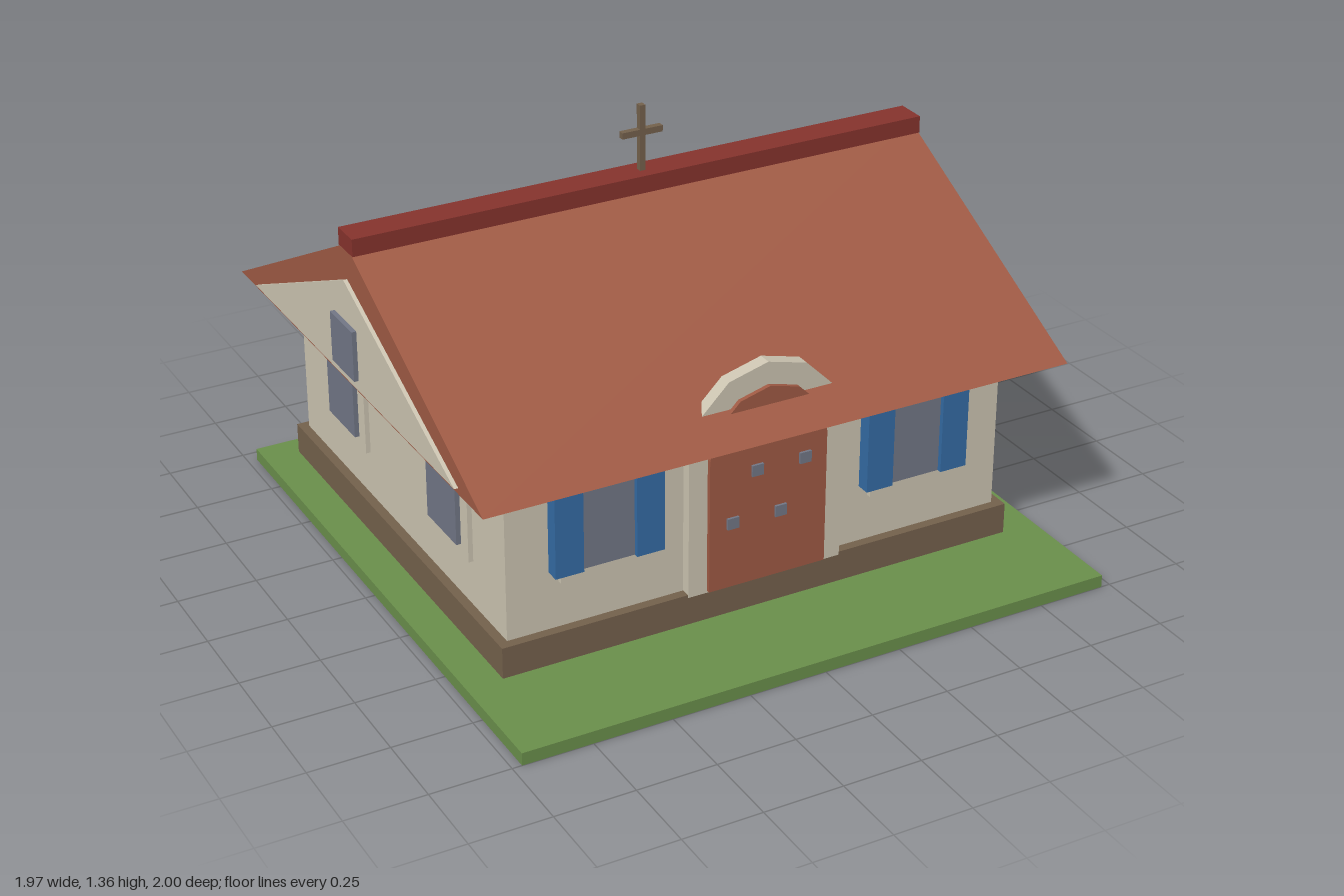
import * as THREE from 'three';

const material = (name, color) => {
  const m = new THREE.MeshStandardMaterial({ color });
  m.name = name;
  return m;
};

export function createModel() {
  const model = new THREE.Group();
  model.name = 'chapel';

  const grass = material('grass green', 0x6a8f4b);
  const stone = material('stone brown', 0x74614c);
  const plaster = material('plaster cream', 0xcdc5b2);
  const tile = material('roof terracotta', 0x9f5a44);
  const ridgeRed = material('ridge red', 0x86332d);
  const glass = material('glass grey', 0x727786);
  const blue = material('shutter blue', 0x346ba4);

  const add = (name, geometry, mat) => {
    const mesh = new THREE.Mesh(geometry, mat);
    mesh.name = name;
    model.add(mesh);
    return mesh;
  };

  // Box given by its extents along each axis
  const box = (name, mat, [x0, x1], [y0, y1], [z0, z1]) => {
    const mesh = add(name, new THREE.BoxGeometry(x1 - x0, y1 - y0, z1 - z0), mat);
    mesh.position.set((x0 + x1) / 2, (y0 + y1) / 2, (z0 + z1) / 2);
    return mesh;
  };

  // The same box on the left (+x) and right (-x)
  const pair = (name, mat, [x0, x1], y, z) => {
    box(name + 'Left', mat, [x0, x1], y, z);
    box(name + 'Right', mat, [-x1, -x0], y, z);
  };

  const mid = -0.113; // z of the ridge line

  // Ground, plinth and walls
  box('lawn', grass, [-0.97, 0.97], [0, 0.04], [-0.95, 1]);
  box('plinth', stone, [-0.855, 0.855], [0.04, 0.14], [-0.87, 0.645]);
  box('walls', plaster, [-0.825, 0.825], [0.14, 0.66], [-0.842, 0.615]);

  // Triangular prism running along x, centred on x = 0
  const prism = (name, mat, halfBase, y0, y1, length) => {
    const shape = new THREE.Shape();
    shape.moveTo(-halfBase, y0);
    shape.lineTo(halfBase, y0);
    shape.lineTo(0, y1);
    shape.closePath();
    const geometry = new THREE.ExtrudeGeometry(shape, { depth: length, bevelEnabled: false });
    geometry.translate(0, 0, -length / 2).rotateY(Math.PI / 2);
    add(name, geometry, mat).position.z = mid;
  };

  // Roof, gable infill showing at both ends, and ridge cap
  prism('roof', tile, 0.885, 0.655, 1.112, 1.92);
  prism('gables', plaster, 0.73, 0.675, 1.0, 1.945);
  box('ridgeCap', ridgeRed, [-0.96, 0.96], [1.09, 1.145], [mid - 0.05, mid + 0.05]);

  // Cross on the ridge
  box('crossPost', stone, [-0.009, 0.009], [1.14, 1.355], [mid - 0.01, mid + 0.01]);
  box('crossBar', stone, [-0.068, 0.068], [1.258, 1.278], [mid - 0.01, mid + 0.01]);

  // Gable windows and side windows
  pair('gableWindow', glass, [0.95, 0.987], [0.71, 0.87], [mid - 0.08, mid + 0.08]);
  for (const [name, z] of [['frontSide', 0.255], ['backSide', -0.478]]) {
    pair(name + 'Frame', plaster, [0.81, 0.84], [0.29, 0.62], [z - 0.147, z + 0.147]);
    pair(name + 'Glass', glass, [0.81, 0.855], [0.327, 0.587], [z - 0.099, z + 0.099]);
  }

  // Front windows with shutters
  pair('frontFrame', plaster, [0.37, 0.66], [0.29, 0.62], [0.6, 0.632]);
  pair('frontGlass', glass, [0.42, 0.61], [0.327, 0.587], [0.6, 0.645]);
  pair('innerShutter', blue, [0.34, 0.43], [0.327, 0.587], [0.61, 0.66]);
  pair('outerShutter', blue, [0.6, 0.69], [0.327, 0.587], [0.61, 0.66]);

  // Slab with straight jambs and a six-sided arched head
  const arch = (name, mat, radius, y0, springY, [z0, z1]) => {
    const shape = new THREE.Shape();
    shape.moveTo(-radius, y0);
    shape.lineTo(radius, y0);
    for (let i = 0; i <= 6; i++) {
      const a = (i * Math.PI) / 6;
      shape.lineTo(radius * Math.cos(a), springY + radius * Math.sin(a));
    }
    shape.closePath();
    const geometry = new THREE.ExtrudeGeometry(shape, { depth: z1 - z0, bevelEnabled: false });
    add(name, geometry, mat).position.z = z0;
  };
  arch('doorSurround', plaster, 0.256, 0.132, 0.585, [0.605, 0.648]);
  arch('door', tile, 0.195, 0.14, 0.575, [0.62, 0.662]);

  // Small panes in the door
  for (const [x, y] of [[-0.04, 0.51], [0.12, 0.51], [-0.12, 0.355], [0.04, 0.355]]) {
    box('doorPane', glass, [x - 0.019, x + 0.019], [y - 0.018, y + 0.018], [0.661, 0.67]);
  }

  return model;
}
